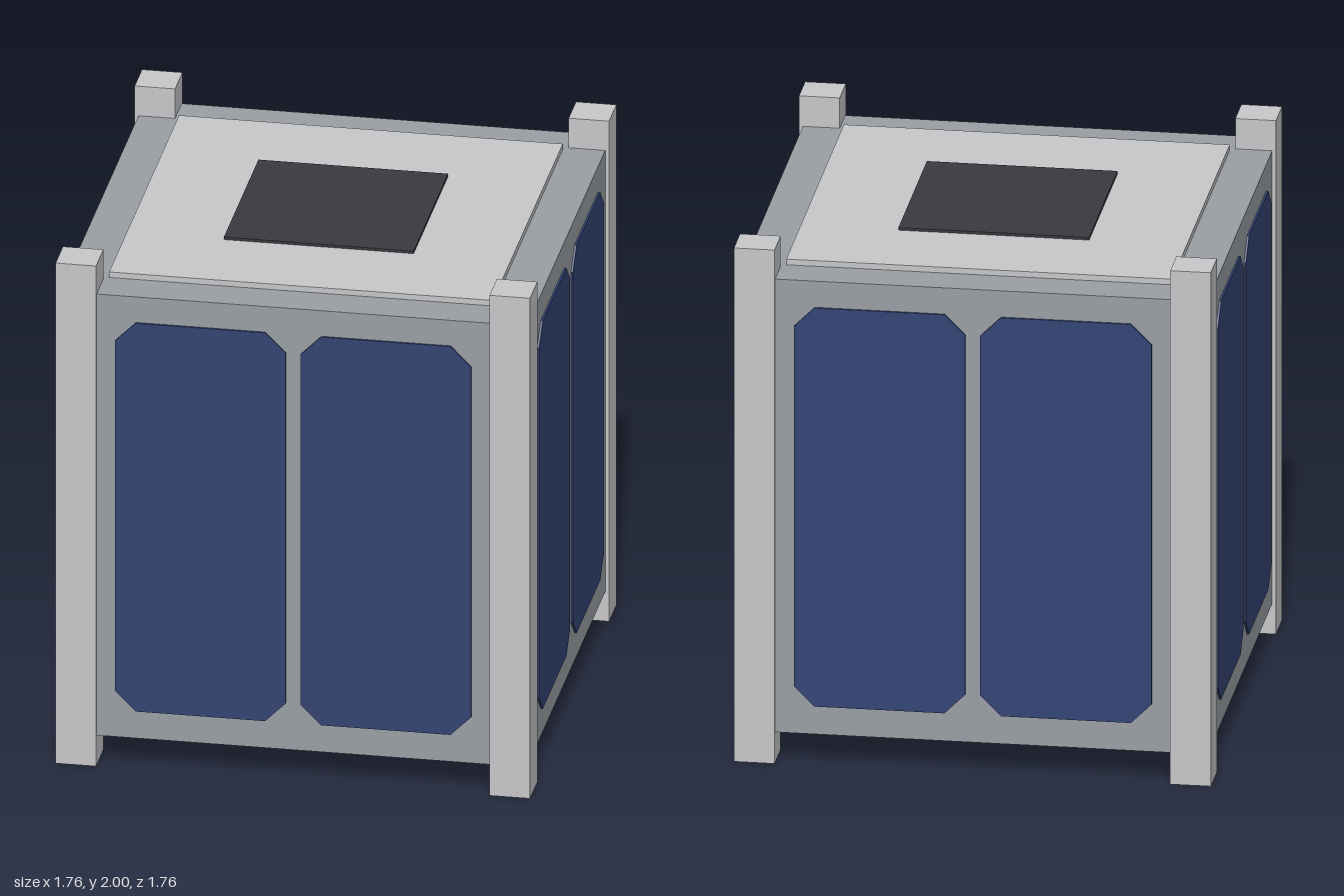
import * as THREE from 'three';

const RAIL_OUT = 0.88, RAIL_W = 0.15, BODY = 0.866;

export function createModel() {
  const model = new THREE.Group();
  model.name = 'cubeSatellite';

  const material = (name, color) => {
    const m = new THREE.MeshStandardMaterial({ color });
    m.name = name;
    return m;
  };
  const railMetal = material('light aluminium', 0xc8c8ca);
  const bodyMetal = material('grey aluminium', 0x9a9fa4);
  const cellBlue = material('solar cell blue', 0x334474);
  const darkPatch = material('dark patch', 0x3a393f);

  const box = (name, mat, w, h, d, x, y, z) => {
    const mesh = new THREE.Mesh(new THREE.BoxGeometry(w, h, d), mat);
    mesh.name = name;
    mesh.position.set(x, y, z);
    model.add(mesh);
  };

  // Main body
  box('body', bodyMetal, BODY * 2, 1.764, BODY * 2, 0, 1, 0);

  // Corner rails
  const r = RAIL_OUT - RAIL_W / 2;
  for (const sx of [-1, 1]) {
    for (const sz of [-1, 1]) box('cornerRail', railMetal, RAIL_W, 2, RAIL_W, sx * r, 1, sz * r);
  }

  // End plates with antenna patches, top and bottom
  for (const s of [-1, 1]) {
    const end = s > 0 ? 'top' : 'bottom';
    box(end + 'Plate', railMetal, 1.424, 0.022, 1.424, 0, 1 + s * 0.893, 0);
    box(end + 'Patch', darkPatch, 0.704, 0.01, 0.704, 0, 1 + s * 0.909, 0);
  }

  // Solar cell outline with clipped corners
  const w = 0.316, h = 0.776, c = 0.076;
  const outline = new THREE.Shape([
    [-w + c, -h], [w - c, -h], [w, -h + c], [w, h - c],
    [w - c, h], [-w + c, h], [-w, h - c], [-w, -h + c],
  ].map(([x, y]) => new THREE.Vector2(x, y)));
  const cellGeometry = new THREE.ExtrudeGeometry(outline, { depth: 0.009, bevelEnabled: false });

  // Two cells on each of the four sides
  for (let i = 0; i < 4; i++) {
    const side = new THREE.Group();
    side.name = ['front', 'left', 'back', 'right'][i] + 'SolarPanel';
    side.rotation.y = i * Math.PI / 2;
    for (const s of [-1, 1]) {
      const cell = new THREE.Mesh(cellGeometry, cellBlue);
      cell.name = 'solarCell';
      cell.position.set(s * 0.344, 1.004, BODY - 0.001);
      side.add(cell);
    }
    model.add(side);
  }
  return model;
}
